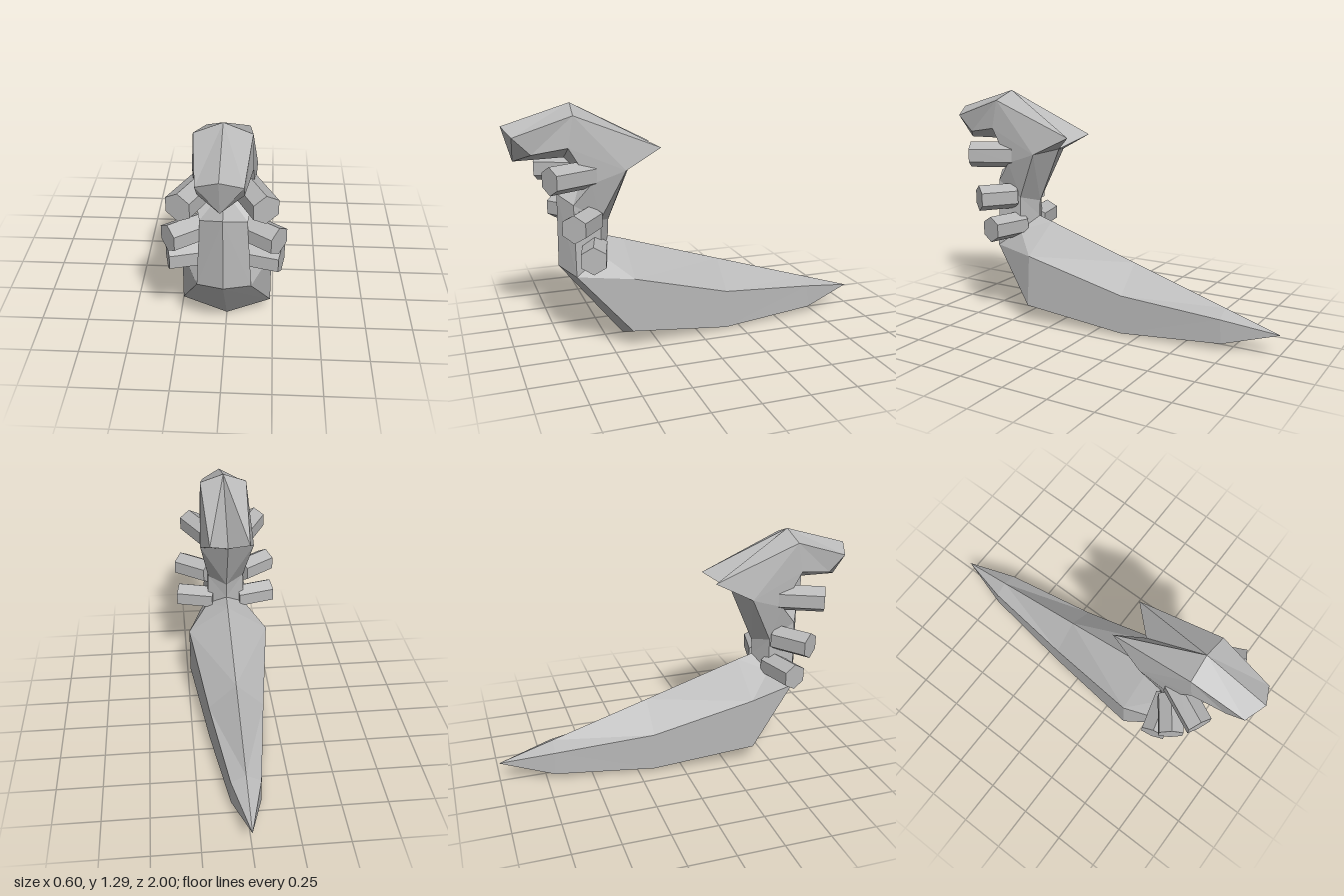
import * as THREE from 'three';

// Half cross-sections from tail tip to beak: [back/top ridge, upper side, lower side, keel/front ridge]
const RINGS = [
  [[0, .11, -1], [0, .11, -1], [0, .11, -1], [0, .11, -1]],
  [[0, .204, -.7], [.08, .165, -.7], [.08, .035, -.71], [0, .03, -.71]],
  [[0, .373, -.16], [.155, .225, -.16], [.155, .012, -.16], [0, .01, -.16]],
  [[0, .545, .385], [.235, .39, .385], [.235, .1, .4], [0, 0, .4]],
  [[0, .57, .47], [.11, .5, .53], [.135, .4, .67], [0, .43, .74]],
  [[0, .66, .465], [.105, .69, .53], [.115, .78, .67], [0, .82, .735]],
  [[0, .97, .33], [.155, .95, .4], [.145, .89, .58], [0, .91, .6]],
  [[0, 1.29, .65], [.135, 1.24, .66], [.14, 1.08, .69], [0, 1.01, .69]],
  [[0, 1.185, 1], [.105, 1.14, .96], [.105, 1.05, .87], [0, 1.005, .95]],
];
const HORN_TIP = [.112, 1.05, .2];

// Turns half-model triangles into a mirrored, flat-shaded geometry
function mirrored(tris) {
  const pos = [];
  for (const [a, b, c] of tris) {
    pos.push(...a, ...b, ...c);
    for (const p of [a, c, b]) pos.push(-p[0], p[1], p[2]);
  }
  const geo = new THREE.BufferGeometry();
  geo.setAttribute('position', new THREE.Float32BufferAttribute(pos, 3));
  geo.computeVertexNormals();
  return geo;
}

// Triangles between consecutive rings; skips the patch that the horn covers
function loft(from, to) {
  const tris = [];
  for (let i = from; i < to; i++) {
    for (let j = 0; j < 3; j++) {
      if (i === 6 && j === 0) continue;
      const a = RINGS[i][j], b = RINGS[i][j + 1];
      const d = RINGS[i + 1][j], c = RINGS[i + 1][j + 1];
      if (i > 0) tris.push([a, c, b]);
      tris.push([a, d, c]);
    }
  }
  return tris;
}

export function createModel() {
  const model = new THREE.Group();
  const grey = new THREE.MeshStandardMaterial({ color: 0xb8b8b8, flatShading: true });
  grey.name = 'plain grey';
  const add = (name, geo) => {
    const mesh = new THREE.Mesh(geo, grey);
    mesh.name = name;
    model.add(mesh);
    return mesh;
  };

  // Tail and belly, then upright neck
  add('body', mirrored(loft(0, 4)));
  add('neck', mirrored(loft(4, 6)));

  // Head with a blunt beak cap
  const [top, brow, jaw, chin] = RINGS[8];
  add('head', mirrored([...loft(6, 8), [top, chin, brow], [brow, chin, jaw]]));

  // Swept-back horns: a pyramid over the open patch at the back of the head
  const [nape, neckSide] = RINGS[6], [crown, temple] = RINGS[7];
  const rim = [nape, crown, temple, neckSide];
  add('horns', mirrored(rim.map((p, k) => [p, rim[(k + 1) % 4], HORN_TIP])));

  // Three pairs of six-sided stub legs: end centre, length, forward swing
  const legs = [
    ['lowerLeg', .282, .527, .61, .22, .26],
    ['middleLeg', .265, .695, .70, .21, .63],
    ['upperLeg', .2, .932, .80, .245, 1.12],
  ];
  for (const [name, x, y, z, length, swing] of legs) {
    const geo = new THREE.CylinderGeometry(.073, .073, length, 6);
    geo.rotateY(Math.PI / 2).rotateZ(-Math.PI / 2).translate(-length / 2, 0, 0);
    for (const side of [1, -1]) {
      const leg = add((side > 0 ? 'left ' : 'right ') + name, geo);
      leg.position.set(side * x, y, z);
      leg.rotation.y = side > 0 ? -swing : Math.PI + swing;
    }
  }
  return model;
}
